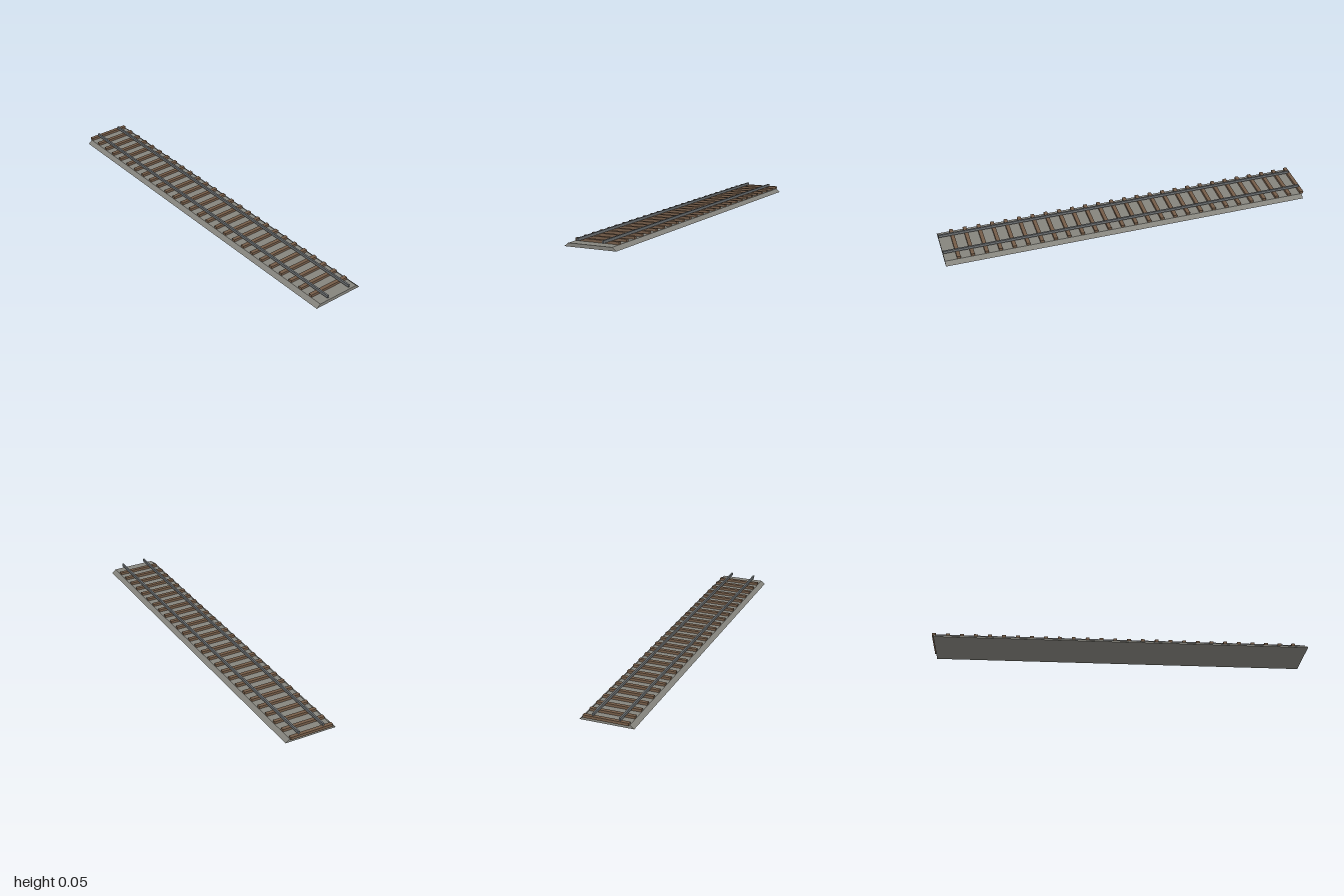
import * as THREE from 'three';

const LENGTH = 2.222, BED_WIDTH = 0.316, BED_HEIGHT = 0.02;
const SLEEPERS = 27, RAIL_OFFSET = 0.077;

function material(name, color) {
  const m = new THREE.MeshStandardMaterial({ color });
  m.name = name;
  return m;
}

// Runs a closed cross-section along z, centred on the origin
function extrudeAlong(points, length) {
  const shape = new THREE.Shape(points.map(([x, y]) => new THREE.Vector2(x, y)));
  const geo = new THREE.ExtrudeGeometry(shape, { depth: length, bevelEnabled: false });
  return geo.translate(0, 0, -length / 2);
}

export function createModel() {
  const gravel = material('gravel grey', 0x85847d);
  const wood = material('sleeper brown', 0x745c48);
  const steel = material('rail steel', 0x6c7072);

  const model = new THREE.Group();
  model.name = 'railwayTrack';
  const add = (name, geo, mat, x = 0, y = 0, z = 0) => {
    const mesh = new THREE.Mesh(geo, mat);
    mesh.name = name;
    mesh.position.set(x, y, z);
    track.add(mesh);
  };

  // The straight track lies diagonally
  const track = new THREE.Group();
  track.name = 'track';
  track.rotation.y = 0.603;
  model.add(track);

  // Ballast bed with sloping shoulders
  const b = BED_WIDTH / 2, t = b - 0.025;
  add('ballastBed', extrudeAlong([[-b, 0], [b, 0], [t, BED_HEIGHT], [-t, BED_HEIGHT]], LENGTH), gravel);

  // Sleepers, evenly spaced from the back edge
  const sleeperGeo = new THREE.BoxGeometry(0.264, 0.016, 0.022);
  for (let i = 0; i < SLEEPERS; i++) {
    add('sleeper', sleeperGeo, wood, 0, 0.027, -LENGTH / 2 + (i * LENGTH) / SLEEPERS);
  }

  // Pair of rails
  const railGeo = new THREE.BoxGeometry(0.01, 0.016, LENGTH);
  for (const side of [-1, 1]) {
    add(side > 0 ? 'leftRail' : 'rightRail', railGeo, steel, side * RAIL_OFFSET, 0.042, 0);
  }
  return model;
}
